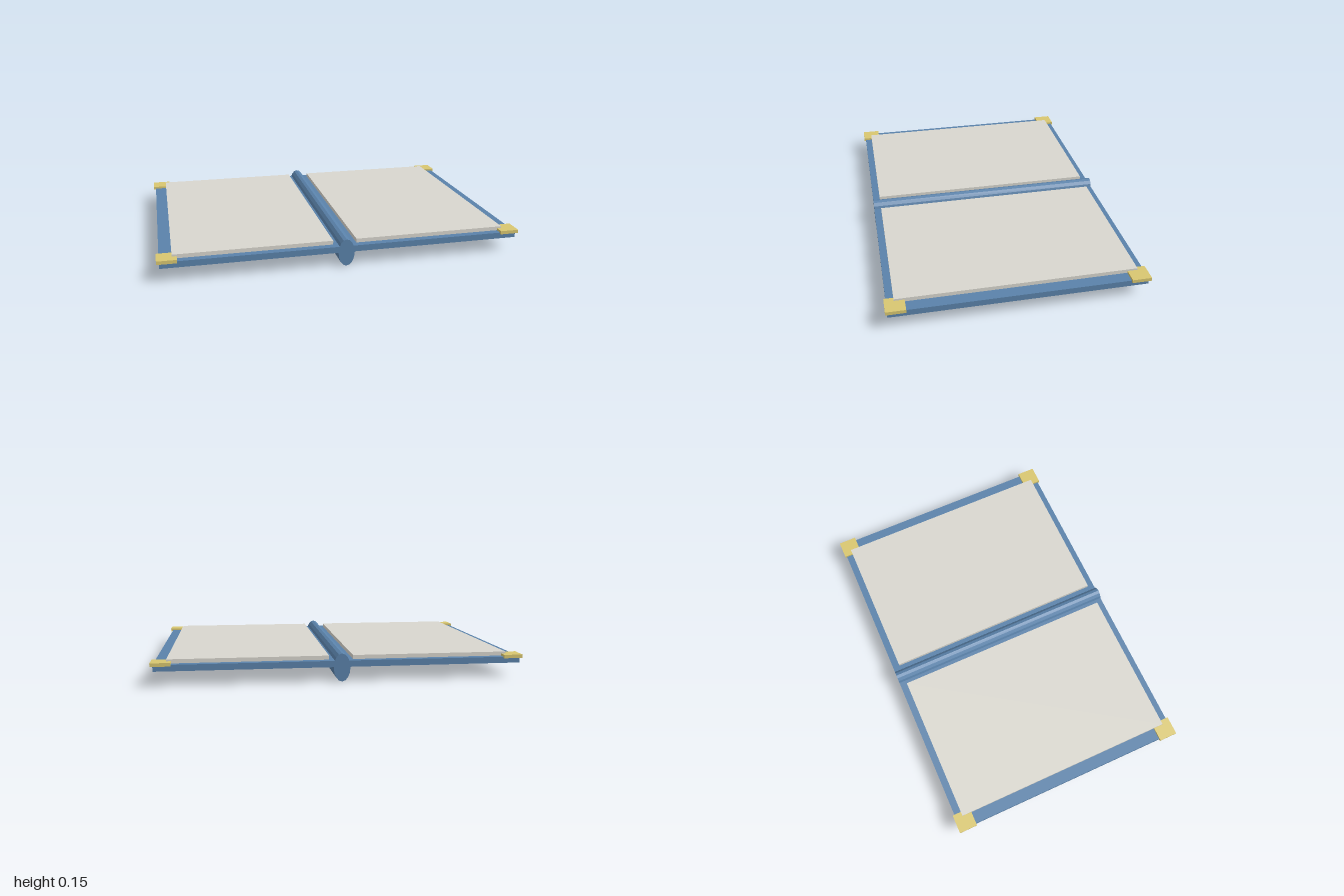
import * as THREE from 'three';

const mat = (color) => new THREE.MeshStandardMaterial({ color, flatShading: true });

export function createModel() {
  const book = new THREE.Group();
  book.name = 'openBook';
  const blue = mat(0x5a82aa), paper = mat(0xd8d6ce), brass = mat(0xd8c670);

  // Box given by its extents on each axis
  const block = (name, material, [x0, x1], [y0, y1], [z0, z1]) => {
    const mesh = new THREE.Mesh(
      new THREE.BoxGeometry(Math.abs(x1 - x0), y1 - y0, Math.abs(z1 - z0)), material);
    mesh.position.set((x0 + x1) / 2, (y0 + y1) / 2, (z0 + z1) / 2);
    mesh.name = name;
    book.add(mesh);
  };

  // Oval spine running front to back
  const spineGeometry = new THREE.CylinderGeometry(1, 1, 1.37, 16);
  spineGeometry.rotateX(Math.PI / 2).scale(0.045, 0.076, 1);
  const spine = new THREE.Mesh(spineGeometry, blue);
  spine.position.y = 0.078;
  spine.name = 'spine';
  book.add(spine);

  for (const s of [1, -1]) {
    const side = s > 0 ? 'left' : 'right';
    // Cover board with its stack of pages
    block(side + 'Cover', blue, [0, s * 0.987], [0.081, 0.115], [-0.685, 0.685]);
    block(side + 'Pages', paper, [s * 0.065, s * 0.92], [0.11, 0.137], [-0.645, 0.645]);
    // Corner guards, front and back
    for (const f of [1, -1]) {
      block(side + (f > 0 ? 'Front' : 'Back') + 'Corner', brass,
        [s * 0.895, s], [0.108, 0.127], [f * 0.59, f * 0.695]);
    }
  }
  return book;
}
